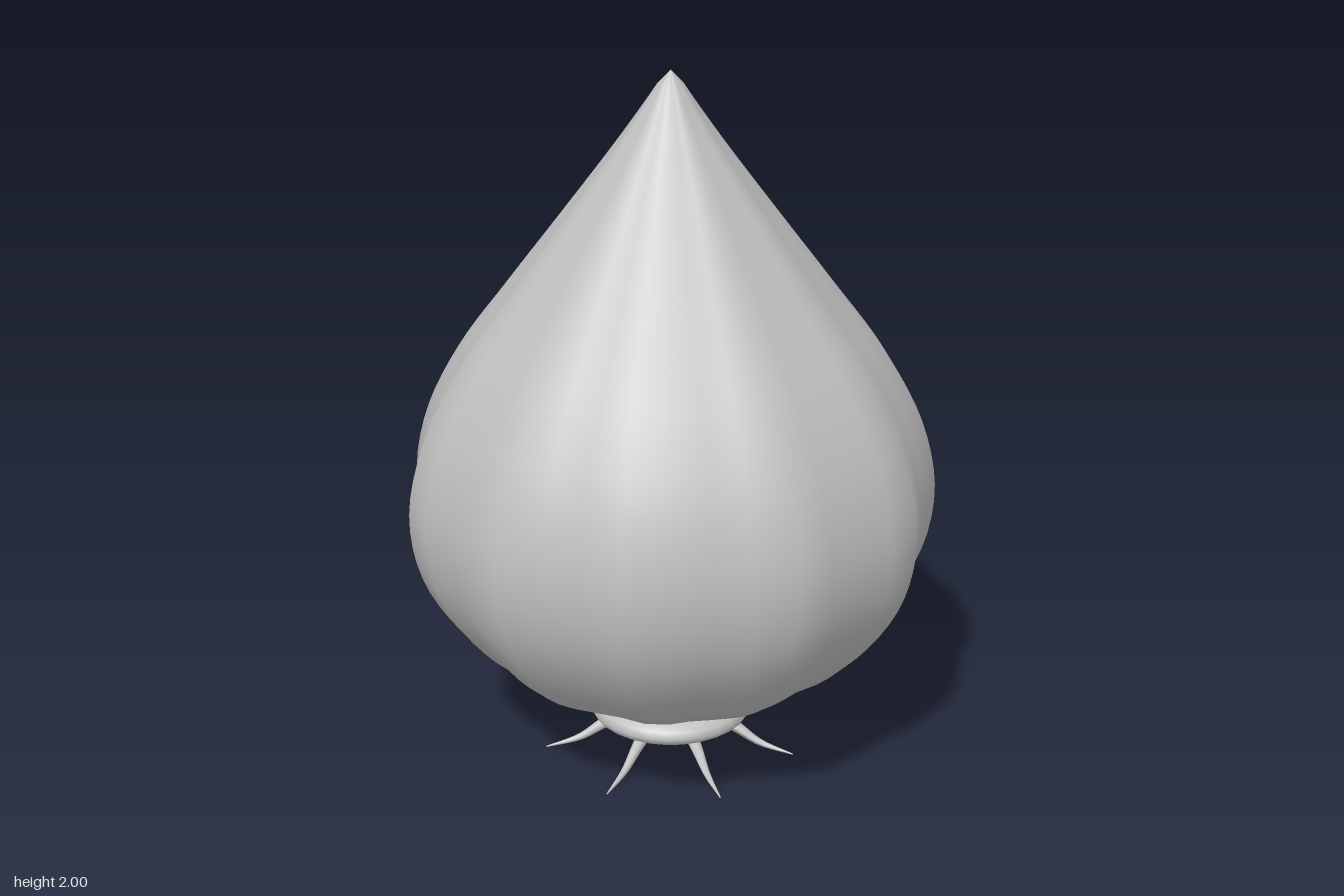
import * as THREE from 'three';

const RIDGES = 11;
const ROOTS = 7;

// Smooth lathe through a few [radius, height] points, seam on +x
function latheThrough(points, steps, segments) {
  const curve = new THREE.CatmullRomCurve3(points.map(([r, y]) => new THREE.Vector3(r, y, 0)));
  const profile = curve.getSpacedPoints(steps).map((p) => new THREE.Vector2(Math.max(p.x, 0), p.y));
  return new THREE.LatheGeometry(profile, segments).rotateY(Math.PI / 2);
}

// Pointed bulb with shallow vertical ridges
function bulbGeometry() {
  const geometry = latheThrough([
    [0.1, 0.14], [0.19, 0.17], [0.435, 0.3], [0.56, 0.4], [0.69, 0.6], [0.728, 0.8], [0.69, 1.0],
    [0.59, 1.2], [0.445, 1.4], [0.295, 1.6], [0.147, 1.8], [0.07, 1.91], [0.022, 1.98], [0, 2],
  ], 48, 40);
  const pos = geometry.attributes.position;
  for (let i = 0; i < pos.count; i++) {
    const x = pos.getX(i), z = pos.getZ(i);
    const k = 1 + 0.025 * Math.cos(RIDGES * Math.atan2(z, x));
    pos.setXYZ(i, x * k, pos.getY(i), z * k);
  }
  geometry.computeVertexNormals();
  return geometry;
}

// Curved root that tapers to a point, running outward along +x
function rootGeometry() {
  const curve = new THREE.CatmullRomCurve3([
    new THREE.Vector3(0.13, 0.105, 0), new THREE.Vector3(0.2, 0.07, 0),
    new THREE.Vector3(0.27, 0.03, 0), new THREE.Vector3(0.37, 0.006, 0),
  ]);
  const rings = 12, sides = 8;
  const geometry = new THREE.TubeGeometry(curve, rings, 0.023, sides);
  const pos = geometry.attributes.position;
  const v = new THREE.Vector3();
  for (let i = 0; i < pos.count; i++) {
    const t = Math.floor(i / (sides + 1)) / rings;
    const centre = curve.getPointAt(t);
    v.fromBufferAttribute(pos, i).sub(centre).multiplyScalar(1 - 0.92 * t).add(centre);
    pos.setXYZ(i, v.x, v.y, v.z);
  }
  geometry.computeVertexNormals();
  return geometry;
}

export function createModel() {
  const skin = new THREE.MeshStandardMaterial({ color: 0xc0c0c0 });
  skin.name = 'pale grey skin';

  const model = new THREE.Group();
  model.name = 'bulb plant';
  const add = (name, geometry) => {
    const mesh = new THREE.Mesh(geometry, skin);
    mesh.name = name;
    mesh.position.x = -0.012;
    model.add(mesh);
    return mesh;
  };

  add('bulb', bulbGeometry());

  // Flattened plate under the bulb
  add('rootPlate', latheThrough([
    [0, 0.072], [0.1, 0.075], [0.19, 0.09], [0.232, 0.115], [0.236, 0.135], [0.2, 0.165], [0.1, 0.17], [0, 0.17],
  ], 24, 28));

  // Ring of roots
  const root = rootGeometry();
  for (let i = 0; i < ROOTS; i++) {
    add('root' + (i + 1), root).rotation.y = (i / ROOTS) * Math.PI * 2;
  }
  return model;
}
